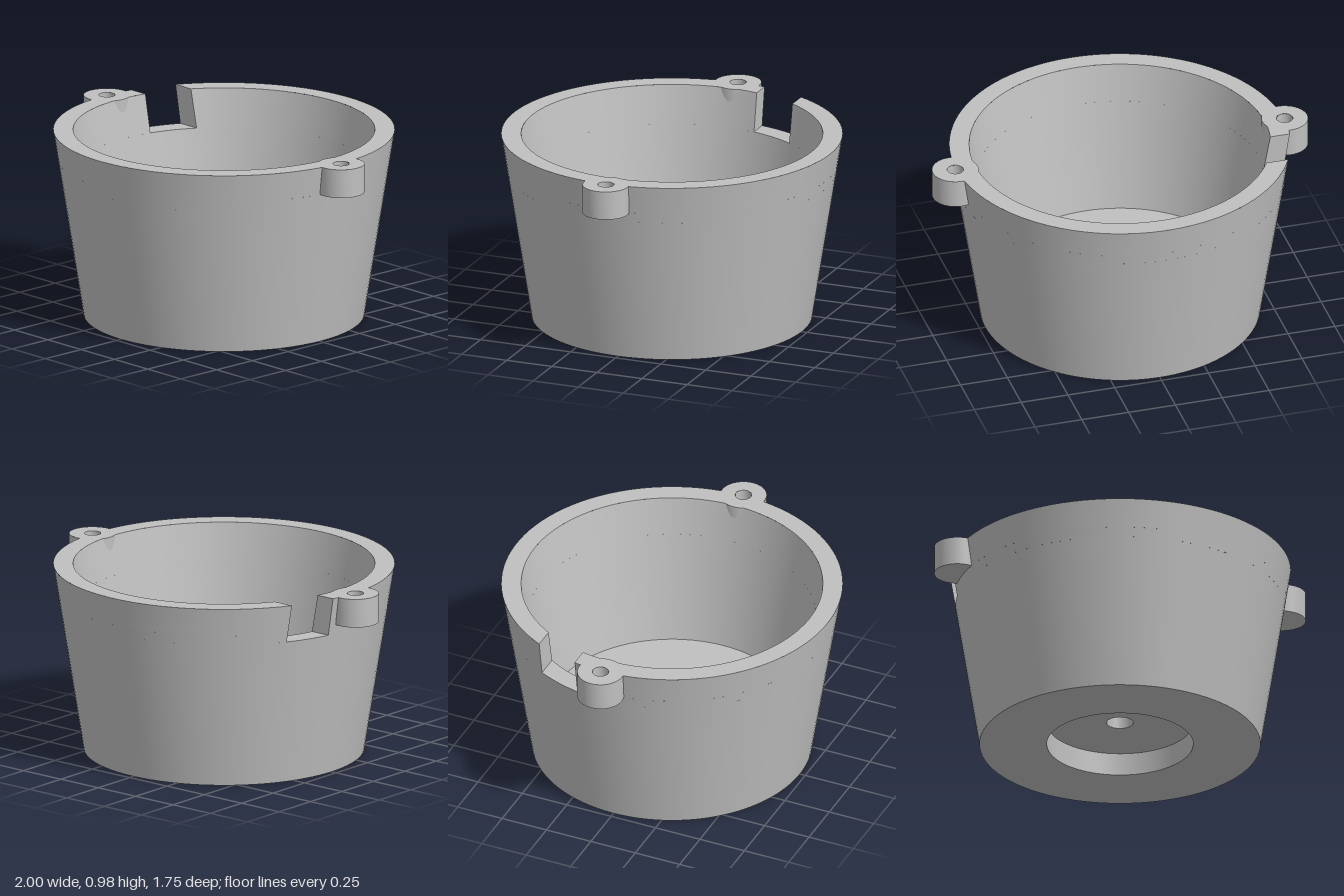
import * as THREE from 'three';
import { toCreasedNormals } from 'three/addons/utils/BufferGeometryUtils.js';

const { PI, asin, acos, cos, sin, atan2 } = Math;
const TOP = 0.98, FLOOR = 0.2, LEDGE = 0.78;         // heights
const EAR_X = 0.88, EAR_R = 0.12, EAR_Y = 0.83, HOLE_R = 0.042;
const NOTCH_NEAR = 0.155, NOTCH_FAR = 0.39;          // notch sides, along -z

// Tapered wall radii at a height
const outer = (y) => 0.72 + (0.155 * y) / TOP;
const inner = (y) => 0.63 + (0.143 * (y - FLOOR)) / (TOP - FLOOR);

// Angles run counter-clockwise seen from above; the notch sides stay parallel to x
const start = (r) => PI - asin(NOTCH_NEAR / r);
const end = (r) => 3 * PI - asin(NOTCH_FAR / r);
const point = (r, y, a) => [r * cos(a), y, -r * sin(a)];

function quad(out, a, b, c, d) {
  out.push(...a, ...b, ...c, ...a, ...c, ...d);
}

// Conical strip between two rings, from angle function a0 to a1
function strip(out, r0, y0, r1, y1, a0, a1, n) {
  const at = (r, y, t) => point(r, y, a0(r) + (a1(r) - a0(r)) * t);
  for (let i = 0; i < n; i++) {
    const t = i / n, u = (i + 1) / n;
    quad(out, at(r0, y0, t), at(r0, y0, u), at(r1, y1, u), at(r1, y1, t));
  }
}

function lathe(points, segments) {
  const profile = points.map(([r, y]) => new THREE.Vector2(r, y));
  return toCreasedNormals(new THREE.LatheGeometry(profile, segments), 0.5);
}

// Wall above the ledge, interrupted by the notch and by the solid ears
function upperWall() {
  const out = [];
  const oL = outer(LEDGE), oE = outer(EAR_Y), oT = outer(TOP);
  const iL = inner(LEDGE), iT = inner(TOP);
  const fixed = (a) => () => a;
  strip(out, oL, LEDGE, oE, EAR_Y, start, end, 96);
  strip(out, oE, EAR_Y, oT, TOP, start, fixed(PI - 0.1), 2);
  strip(out, oE, EAR_Y, oT, TOP, fixed(PI + 0.1), fixed(2 * PI - 0.1), 48);
  strip(out, oE, EAR_Y, oT, TOP, fixed(2 * PI + 0.1), end, 42);
  strip(out, iT, TOP, iL, LEDGE, start, end, 96);
  // Flat notch sides
  for (const [side, flip] of [[start, false], [end, true]]) {
    const c = [[iL, LEDGE], [oL, LEDGE], [oT, TOP], [iT, TOP]].map(([r, y]) => point(r, y, side(r)));
    if (flip) c.reverse();
    quad(out, ...c);
  }
  const g = new THREE.BufferGeometry();
  g.setAttribute('position', new THREE.Float32BufferAttribute(out, 3));
  return toCreasedNormals(g, 0.5);
}

// Flat top of the rim, including both ears and their screw holes
function rimTop() {
  const R = outer(TOP), r = inner(TOP);
  const meet = (q) => acos((q * q + EAR_X * EAR_X - EAR_R * EAR_R) / (2 * q * EAR_X));
  const earAngle = (q, m) => atan2(q * sin(m), q * cos(m) - EAR_X);
  const m = meet(R), k = meet(r), e = earAngle(R, m), f = earAngle(r, k);
  const pts = [];
  const arc = (cx, q, a, b, n) => {
    for (let i = 0; i <= n; i++) {
      const t = a + ((b - a) * i) / n;
      pts.push(new THREE.Vector2(cx + q * cos(t), q * sin(t)));
    }
  };
  // Outer edge
  arc(0, R, start(R), PI - m - 0.002, 2);
  arc(-EAR_X, EAR_R, PI - e, PI + e, 24);
  arc(0, R, PI + m + 0.002, 2 * PI - m - 0.002, 48);
  arc(EAR_X, EAR_R, -e, e, 24);
  arc(0, R, m + 0.002, end(R) - 2 * PI, 42);
  // Inner edge, back again, with the small ear bulges
  arc(0, r, end(r) - 2 * PI, k + 0.002, 42);
  arc(EAR_X, EAR_R, f, 2 * PI - f, 8);
  arc(0, r, -k - 0.002, -PI + k + 0.002, 48);
  arc(-EAR_X, EAR_R, f - PI, PI - f, 8);
  arc(0, r, PI - k - 0.002, start(r), 3);
  const shape = new THREE.Shape(pts);
  for (const s of [-1, 1]) {
    shape.holes.push(new THREE.Path().absarc(s * EAR_X, 0, HOLE_R, 0, 2 * PI, true));
  }
  return new THREE.ShapeGeometry(shape, 24).rotateX(-PI / 2).translate(0, TOP, 0);
}

export function createModel() {
  const group = new THREE.Group();
  const grey = new THREE.MeshStandardMaterial({ color: 0xc0c0c0 });
  grey.name = 'plain grey';
  const add = (name, geometry, x = 0) => {
    const mesh = new THREE.Mesh(geometry, grey);
    mesh.name = name;
    mesh.position.x = x;
    group.add(mesh);
  };

  // Cup below the notch, with drain hole and recess underneath
  add('cupBody', lathe([
    [0.068, FLOOR], [0.068, 0.12], [0.375, 0.12], [0.375, 0], [0.72, 0],
    [outer(LEDGE), LEDGE], [inner(LEDGE), LEDGE], [inner(FLOOR), FLOOR], [0.068, FLOOR],
  ], 96));
  add('upperWall', upperWall());
  add('rimTop', rimTop());

  // Screw ears with blind holes, open at the top where the rim closes them
  for (const [name, s] of [['leftEar', 1], ['rightEar', -1]]) {
    add(name, lathe([[0, EAR_Y], [EAR_R, EAR_Y], [EAR_R, TOP]], 48), s * EAR_X);
    add(name + 'Hole', lathe([[HOLE_R, TOP], [HOLE_R, EAR_Y + 0.02], [0, EAR_Y + 0.02]], 24), s * EAR_X);
  }
  return group;
}
